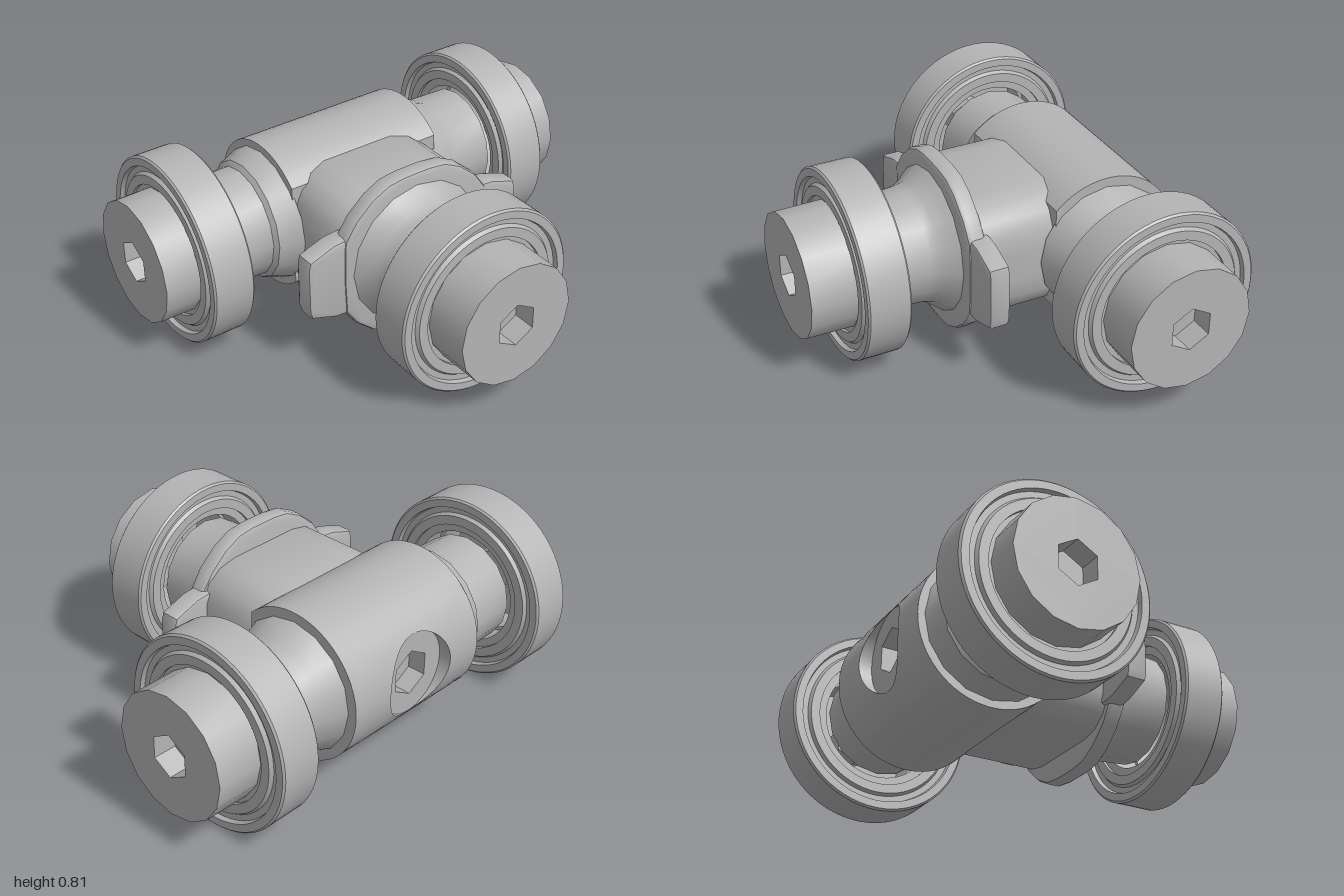
import * as THREE from 'three';
import { toCreasedNormals, mergeGeometries } from 'three/addons/utils/BufferGeometryUtils.js';

const metal = new THREE.MeshStandardMaterial({ color: 0xb4b4b4, side: THREE.DoubleSide });
metal.name = 'grey metal';

const AXIS_X = -0.42, AXIS_Y = 0.41, ARM_Z = 0.03;

function part(name, geometry, crease = 0.6) {
  const mesh = new THREE.Mesh(toCreasedNormals(geometry, crease), metal);
  mesh.name = name;
  return mesh;
}

// Surface through rows of points
function grid(rows) {
  const pos = [];
  for (let i = 0; i < rows.length - 1; i++) {
    for (let j = 0; j < rows[i].length - 1; j++) {
      const a = rows[i][j], b = rows[i][j + 1], c = rows[i + 1][j + 1], d = rows[i + 1][j];
      pos.push(...a, ...b, ...c, ...a, ...c, ...d);
    }
  }
  const g = new THREE.BufferGeometry();
  g.setAttribute('position', new THREE.Float32BufferAttribute(pos, 3));
  g.computeVertexNormals();
  return g;
}

// Solid of revolution around z, from [radius, z] pairs
function turned(profile, sides) {
  const pts = profile.map(([r, z]) => new THREE.Vector2(r, z));
  return new THREE.LatheGeometry(pts, sides).rotateX(Math.PI / 2);
}

function polygon(radius, sides, Type = THREE.Shape) {
  const pts = [];
  for (let i = 0; i < sides; i++) {
    const a = (i / sides) * Math.PI * 2;
    pts.push(new THREE.Vector2(radius * Math.sin(a), radius * Math.cos(a)));
  }
  return new Type(pts);
}

// Flat disc facing +z with a hexagonal socket sunk into it
function socketFace(radius, sides, hex, depth) {
  const face = polygon(radius, sides);
  face.holes.push(polygon(hex, 6, THREE.Path));
  const pieces = [
    new THREE.ShapeGeometry(face),
    new THREE.CylinderGeometry(hex, hex, depth, 6, 1, true).rotateX(Math.PI / 2).translate(0, 0, -depth / 2),
    new THREE.CircleGeometry(hex, 6, Math.PI / 2).translate(0, 0, -depth),
  ];
  return mergeGeometries(pieces.map((g) => g.toNonIndexed()));
}

// Arm pointing along +z: neck, bearing ring and end with socket
function makeArm(name, neck, ringStart, ringEnd, end) {
  const arm = new THREE.Group();
  arm.name = name;
  const sides = 16, r = 0.266;
  arm.add(part('neck', turned([...neck, [0.236, ringStart + 0.02]], sides)));
  arm.add(part('shaftEnd', turned([[r + 0.004, ringStart + 0.02], [r, end]], sides)));

  const socket = part('socketFace', socketFace(r, sides, 0.095, 0.1), 0.3);
  socket.position.z = end;
  arm.add(socket);

  // Bearing ring with a recessed shield on both faces
  const a = ringStart, b = ringEnd, s = 0.02;
  arm.add(part('bearingRing', turned([
    [0.25, a + s], [0.285, a + s], [0.285, a + 0.005], [0.325, a + 0.005], [0.335, a + s], [0.36, a + s],
    [0.365, a], [0.398, a], [0.406, a + 0.008], [0.406, b - 0.008], [0.398, b], [0.365, b],
    [0.36, b - s], [0.335, b - s], [0.325, b - 0.005], [0.285, b - 0.005], [0.285, b - s], [0.25, b - s],
  ], 64)));
  return arm;
}

// Main barrel, with a flat round pocket in its -x side
function makeBarrel() {
  const group = new THREE.Group();
  group.name = 'barrel';
  const R = 0.326, z0 = -0.35, z1 = 0.38, zc = (z0 + z1) / 2, hz = (z1 - z0) / 2;
  const hy = 0.25, hole = 0.18, floorX = -0.69;
  const open = Math.asin(hy / R);
  const flat = Math.PI - Math.acos(0.23 / R);
  const at = (t) => [AXIS_X - R * Math.cos(t), AXIS_Y + R * Math.sin(t)];
  const arc = (from, to, n) => Array.from({ length: n + 1 }, (_, i) => at(from + ((to - from) * i) / n));

  // Wall and ends
  const section = [...arc(open, flat, 16), ...arc(2 * Math.PI - flat, 2 * Math.PI - open, 16)];
  group.add(part('barrelWall', grid([z1, z0].map((z) => section.map(([x, y]) => [x, y, z])))));
  const outline = [...section, ...arc(-open, open, 16)].map(([x, y]) => new THREE.Vector2(x, y));
  for (const z of [z0, z1]) {
    group.add(part('barrelEnd', new THREE.ShapeGeometry(new THREE.Shape(outline)).translate(0, 0, z)));
  }

  // Curved patch that blends from a rectangle to the round pocket edge
  const rows = [], steps = 5, n = 48;
  for (let i = 0; i <= steps + 1; i++) {
    const t = Math.min(i / steps, 1), row = [];
    for (let j = 0; j <= n; j++) {
      const a = (j / n) * Math.PI * 2, c = Math.cos(a), s = Math.sin(a);
      const m = Math.max(Math.abs(c), Math.abs(s));
      const y = THREE.MathUtils.lerp((hy * s) / m, hole * s, t);
      const z = THREE.MathUtils.lerp(zc + (hz * c) / m, ARM_Z + hole * c, t);
      const x = i > steps ? floorX : AXIS_X - Math.sqrt(R * R - y * y);
      row.push([x, AXIS_Y + y, z]);
    }
    rows.push(row);
  }
  group.add(part('pocketWall', grid(rows)));
  const floor = part('pocketFloor', socketFace(hole, n, 0.1, 0.08), 0.3);
  floor.rotation.y = -Math.PI / 2;
  floor.position.set(floorX, AXIS_Y, ARM_Z);
  group.add(floor);
  return group;
}

// Plate cut from a [z, y] outline quarter, mirrored twice, running from x0 to x1
function plate(quarter, x0, x1, bevel) {
  const back = [...quarter].reverse();
  const all = [
    ...quarter, ...back.map(([z, y]) => [-z, y]),
    ...quarter.map(([z, y]) => [-z, -y]), ...back.map(([z, y]) => [z, -y]),
  ];
  const shape = new THREE.Shape(all.map(([z, y]) => new THREE.Vector2(-z, y)));
  const g = new THREE.ExtrudeGeometry(shape, {
    depth: x1 - x0 - 2 * bevel, bevelEnabled: bevel > 0, bevelThickness: bevel,
    bevelSize: bevel, bevelOffset: -bevel, bevelSegments: 2,
  });
  return g.rotateY(Math.PI / 2).translate(x0 + bevel, AXIS_Y, 0);
}

export function createModel() {
  const model = new THREE.Group();
  model.name = 'bearingTee';
  model.add(makeBarrel());

  // Front and back arms share the barrel axis
  const front = makeArm('frontArm', [[0.3, 0.37], [0.262, 0.47], [0.24, 0.485]], 0.68, 0.865, 1);
  front.position.set(AXIS_X, AXIS_Y, 0);
  const back = makeArm('backArm', [[0.29, 0.34], [0.25, 0.45], [0.24, 0.47]], 0.635, 0.82, 1);
  back.position.set(AXIS_X, AXIS_Y, 0);
  back.rotation.y = Math.PI;

  // Side arm
  const side = makeArm('sideArm', [[0.33, 0.17], [0.3, 0.21], [0.26, 0.26], [0.25, 0.3]], 0.455, 0.64, 0.82);
  side.position.set(0, AXIS_Y, ARM_Z);
  side.rotation.y = Math.PI / 2;
  model.add(front, back, side);

  // Block that joins the side arm to the barrel
  const block = part('crossBlock', plate(
    [[0.35, 0.06], [0.345, 0.14], [0.31, 0.21], [0.25, 0.255], [0.17, 0.272]], -0.28, 0.14, 0.012));
  block.position.z = 0.02;

  // Stop flange with rounded top and bottom lobes
  const flange = part('stopFlange', plate(
    [[0.36, 0.05], [0.355, 0.17], [0.3, 0.25], [0.22, 0.32], [0.14, 0.36], [0.06, 0.37]], 0.11, 0.19, 0.02));
  flange.position.z = 0.025;

  // Ears at the front and back of the flange
  const ears = part('flangeEars', plate(
    [[0.525, 0.1], [0.515, 0.135], [0.4, 0.175], [0.34, 0.18]], 0.09, 0.18, 0.015));
  ears.position.z = 0.025;
  model.add(block, flange, ears);
  return model;
}
